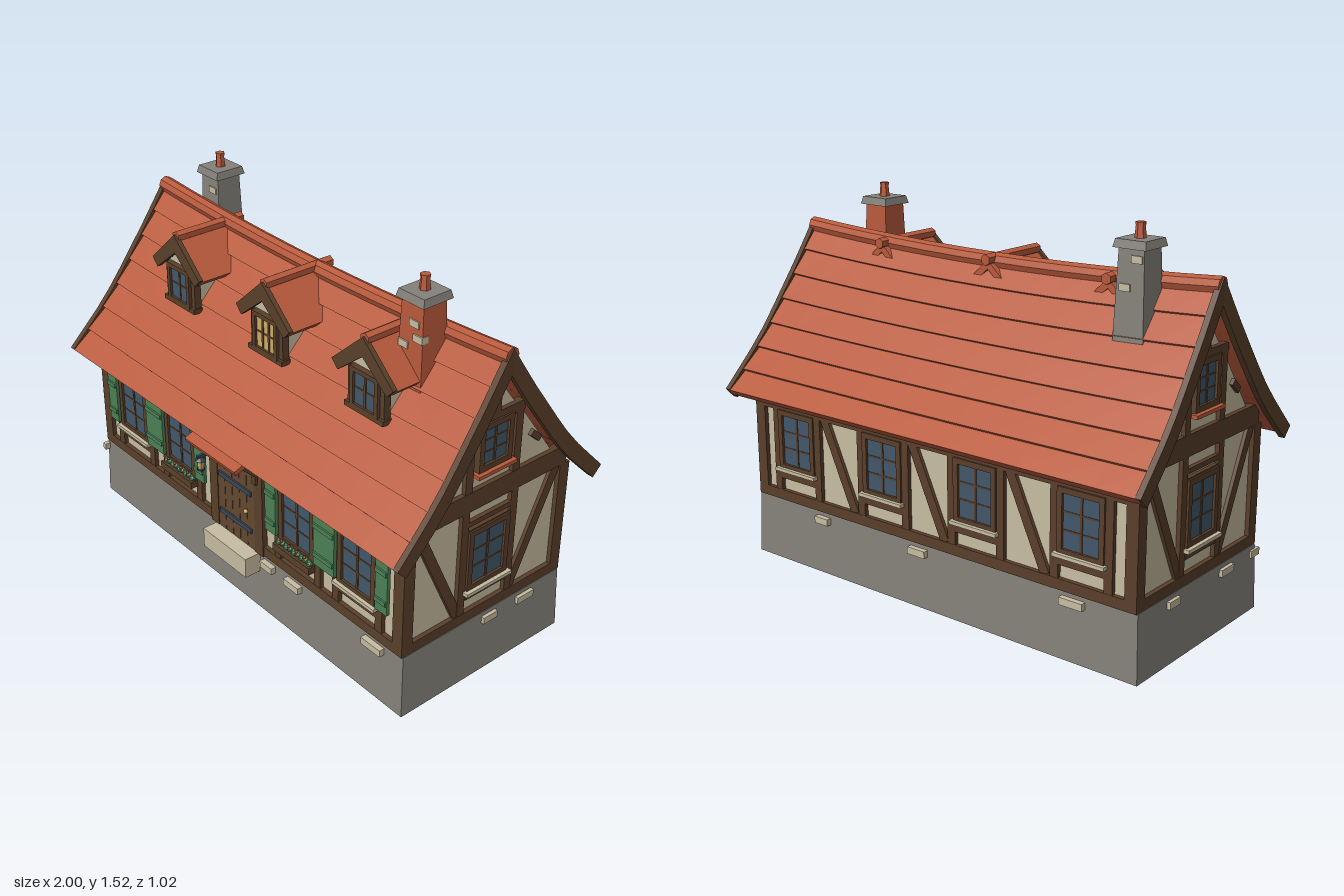
import * as THREE from 'three';

const paint = (name, color, side = THREE.FrontSide) => {
  const m = new THREE.MeshStandardMaterial({ color, side });
  m.name = name;
  return m;
};

export function createModel() {
  const tile = paint('roof tile', 0xb85a3c), timber = paint('timber', 0x5a3f2a);
  const plaster = paint('plaster', 0xc8bda2), stone = paint('stone', 0x85827a, THREE.DoubleSide);
  const glass = paint('glass', 0x42586a), lit = paint('lit glass', 0xcfae68);
  const green = paint('shutter green', 0x4c8054), doorWood = paint('door wood', 0x634830);
  const iron = paint('iron', 0x39485a), flowerRed = paint('flower red', 0xb8433a);

  const house = new THREE.Group();
  house.name = 'house';
  house.position.z = -0.01;

  const add = (parent, name, geo, mat, x = 0, y = 0, z = 0) => {
    const m = new THREE.Mesh(geo, mat);
    m.name = name;
    m.position.set(x, y, z);
    parent.add(m);
    return m;
  };
  const group = (name, x = 0, y = 0, z = 0) => {
    const g = new THREE.Group();
    g.name = name;
    g.position.set(x, y, z);
    house.add(g);
    return g;
  };
  const box = (p, name, mat, x, y, w, h, d = 0.03, z = 0) => add(p, name, new THREE.BoxGeometry(w, h, d), mat, x, y, z);
  const flat = (geo) => {
    const g = geo.index ? geo.toNonIndexed() : geo;
    g.computeVertexNormals();
    return g;
  };
  // Capped solid through matching convex rings of [x, y, z], faces turned outward
  const loft = (rings) => {
    const tris = [], n = rings[0].length, last = rings[rings.length - 1];
    for (let i = 0; i < rings.length - 1; i++) for (let j = 0; j < n; j++) {
      const k = (j + 1) % n, a = rings[i], b = rings[i + 1];
      tris.push([a[j], a[k], b[k]], [a[j], b[k], b[j]]);
    }
    for (let j = 1; j < n - 1; j++) tris.push([rings[0][0], rings[0][j + 1], rings[0][j]], [last[0], last[j], last[j + 1]]);
    const V = (p) => new THREE.Vector3(...p);
    const volume = tris.reduce((s, [a, b, c]) => s + V(a).dot(V(b).cross(V(c))), 0);
    if (volume < 0) tris.forEach((t) => t.reverse());
    const g = new THREE.BufferGeometry();
    g.setAttribute('position', new THREE.Float32BufferAttribute(tris.flat(2), 3));
    g.computeVertexNormals();
    return g;
  };
  // Straight timber between two points on a wall
  const brace = (p, x1, y1, x2, y2, w = 0.04) => {
    const m = box(p, 'brace', timber, (x1 + x2) / 2, (y1 + y2) / 2, w, Math.hypot(x2 - x1, y2 - y1), 0.024);
    m.rotation.z = Math.atan2(x1 - x2, y2 - y1);
  };
  const windowUnit = (p, x, y, w, h, { pane = glass, cols = 2, rows = 3, f = 0.022, z = 0 } = {}) => {
    box(p, 'windowPane', pane, x, y, w, h, 0.008, z + 0.008);
    for (const s of [-1, 1]) {
      box(p, 'windowJamb', timber, x + s * (w + f) / 2, y, f, h + 2 * f, 0.044, z);
      box(p, 'windowRail', timber, x, y + s * (h + f) / 2, w, f, 0.044, z);
    }
    for (let i = 1; i < cols; i++) box(p, 'mullion', timber, x - w / 2 + i * w / cols, y, 0.01, h, 0.03, z);
    for (let i = 1; i < rows; i++) box(p, 'glazingBar', timber, x, y - h / 2 + i * h / rows, w, 0.007, 0.028, z);
  };

  // Foundation: tapered and open below
  const baseGeo = new THREE.BoxGeometry(1.89, 0.26, 0.81);
  const bp = baseGeo.attributes.position;
  for (let i = 0; i < bp.count; i++) if (bp.getY(i) > 0) bp.setXYZ(i, bp.getX(i) * 0.99, 0.13, bp.getZ(i) * 0.98);
  const faces = Array.from(baseGeo.index.array);
  faces.splice(18, 6);
  baseGeo.setIndex(faces);
  baseGeo.clearGroups();
  baseGeo.computeVertexNormals();
  add(house, 'foundation', baseGeo, stone, 0, 0.13, 0);

  // Plaster body with gables
  const half = [[0.385, 0.262], [0.385, 0.74], [0.31, 0.82], [0.155, 1.03], [0.08, 1.12]];
  const outline = [...half, [0, 1.23], ...half.map(([z, y]) => [-z, y]).reverse()];
  const bodyGeo = new THREE.ExtrudeGeometry(new THREE.Shape(outline.map((p) => new THREE.Vector2(...p))), { depth: 1.83, bevelEnabled: false });
  add(house, 'plasterWalls', bodyGeo.translate(0, 0, -0.915).rotateY(Math.PI / 2), plaster);

  // Wall groups: local x along the wall, z outward
  const wall = (name, angle, dist) => {
    const g = group(name, Math.sin(angle) * dist, 0, Math.cos(angle) * dist);
    g.rotation.y = angle;
    return g;
  };
  const front = wall('frontWall', 0, 0.387), back = wall('backWall', Math.PI, 0.387);
  const gables = [wall('leftGable', Math.PI / 2, 0.917), wall('rightGable', -Math.PI / 2, 0.917)];
  for (const x of [-0.908, 0.908]) for (const z of [-0.378, 0.378]) box(house, 'cornerPost', timber, x, 0.5, 0.05, 0.48, 0.05, z);

  const bay = (p, x) => {
    windowUnit(p, x, 0.522, 0.155, 0.205);
    for (const s of [-1, 1]) box(p, 'stud', timber, x + s * 0.115, 0.47, 0.035, 0.4);
    box(p, 'underRail', timber, x, 0.372, 0.2, 0.036);
  };
  for (const p of [front, back]) {
    box(p, 'sillBeam', timber, 0, 0.281, 1.86, 0.042, 0.032);
    box(p, 'headRail', timber, 0, 0.652, 1.86, 0.018);
    box(p, 'topPlate', timber, 0, 0.695, 1.86, 0.04);
  }
  // Back windows and braces
  for (const x of [-0.7, -0.23, 0.23, 0.7]) {
    bay(back, x);
    box(back, 'windowSill', plaster, x, 0.397, 0.22, 0.014, 0.05, 0.012);
  }
  for (const x of [-0.465, 0, 0.465]) brace(back, x - 0.08, 0.65, x + 0.08, 0.3);

  // Front windows, shutters and flower boxes
  for (const s of [-1, 1]) {
    for (const x of [s * 0.695, s * 0.364]) {
      bay(front, x);
      for (const k of [-1, 1]) {
        const sx = x + k * 0.139;
        box(front, 'shutter', green, sx, 0.523, 0.062, 0.226, 0.014, 0.022);
        for (const y of [0.46, 0.585]) box(front, 'shutterBatten', green, sx, y, 0.056, 0.018, 0.008, 0.032);
      }
    }
    box(front, 'windowSill', plaster, s * 0.695, 0.397, 0.22, 0.014, 0.05, 0.012);
    box(front, 'flowerBox', timber, s * 0.364, 0.375, 0.21, 0.03, 0.04, 0.027);
    for (let i = 0; i < 9; i++) {
      const x = s * 0.364 - 0.088 + i * 0.022;
      add(front, 'leaves', new THREE.IcosahedronGeometry(0.015, 0), green, x, 0.396 + (i % 2) * 0.006, 0.027);
      if (i % 2) add(front, 'flower', new THREE.IcosahedronGeometry(0.008, 0), flowerRed, x, 0.414, 0.034);
    }
    box(front, 'doorPost', timber, s * 0.14, 0.46, 0.05, 0.41, 0.04);
    // Porch bracket
    box(front, 'porchBracketPost', timber, s * 0.13, 0.62, 0.022, 0.09, 0.025, 0.018);
    box(front, 'porchBracketArm', timber, s * 0.13, 0.65, 0.02, 0.02, 0.13, 0.055).rotation.x = -0.75;
  }
  // Door
  for (let i = 0; i < 5; i++) box(front, 'doorPlank', doorWood, -0.092 + i * 0.046, 0.442, 0.044, 0.37, 0.02, 0.008);
  box(front, 'doorLintel', timber, 0, 0.645, 0.32, 0.04, 0.045);
  for (const y of [0.34, 0.51]) box(front, 'doorStrap', iron, 0, y, 0.2, 0.02, 0.008, 0.021);
  add(front, 'doorKnob', new THREE.SphereGeometry(0.009, 8, 6), lit, 0.07, 0.42, 0.026);
  box(house, 'doorStep', plaster, 0, 0.213, 0.27, 0.085, 0.1, 0.42);
  box(house, 'porchRoof', tile, 0, 0.698, 0.31, 0.02, 0.125, 0.46).rotation.x = 0.36;
  // Lantern
  box(front, 'lanternBracket', iron, -0.176, 0.56, 0.012, 0.012, 0.07, 0.035);
  add(front, 'lanternCap', flat(new THREE.ConeGeometry(0.024, 0.02, 6)), iron, -0.176, 0.552, 0.053);
  add(front, 'lanternGlass', flat(new THREE.CylinderGeometry(0.017, 0.013, 0.04, 6)), lit, -0.176, 0.524, 0.053);
  add(front, 'lanternBase', flat(new THREE.CylinderGeometry(0.017, 0.017, 0.007, 6)), iron, -0.176, 0.502, 0.053);

  // Gable framing
  for (const p of gables) {
    box(p, 'sillBeam', timber, 0, 0.281, 0.8, 0.042, 0.032);
    box(p, 'tieBeam', timber, 0, 0.78, 0.76, 0.08, 0.032);
    windowUnit(p, 0, 0.527, 0.157, 0.21);
    box(p, 'headRail', timber, 0, 0.685, 0.23, 0.02);
    box(p, 'headRail', timber, 0, 0.65, 0.2, 0.02);
    box(p, 'underRail', timber, 0, 0.372, 0.2, 0.03);
    box(p, 'windowSill', plaster, 0, 0.395, 0.225, 0.014, 0.05, 0.012);
    windowUnit(p, 0, 0.98, 0.115, 0.14);
    box(p, 'upperSill', tile, 0, 0.88, 0.185, 0.014, 0.05, 0.012);
    box(p, 'collarBeam', timber, 0, 1.078, 0.27, 0.04);
    box(p, 'kingPost', timber, 0, 1.17, 0.03, 0.16);
    for (const s of [-1, 1]) {
      box(p, 'stud', timber, s * 0.12, 0.52, 0.034, 0.46);
      box(p, 'upperStud', timber, s * 0.115, 0.94, 0.034, 0.26);
      brace(p, s * 0.335, 0.74, s * 0.13, 0.3);
      brace(p, s * 0.235, 0.9, s * 0.19, 0.94, 0.025);
    }
  }

  // Pale stones in the foundation
  const blocks = [[front, [0.195, 0.345, 0.79, -0.935]], [back, [-0.56, -0.05, 0.67]], [gables[0], [0.025, 0.21]], [gables[1], [-0.18, 0.18]]];
  for (const [p, xs] of blocks) xs.forEach((x, i) => box(p, 'paleStone', plaster, x, 0.228, x < -0.9 ? 0.02 : 0.07 + 0.015 * (i % 3), 0.028, 0.06, 0.003));

  // Main roof: curved pitch with a sagging ridge
  const pitch = new THREE.CatmullRomCurve3([[0, 1.295], [0.075, 1.185], [0.155, 1.078], [0.31, 0.882], [0.49, 0.705]].map(([z, y]) => new THREE.Vector3(0, y, z)));
  const sag = (x, t) => 0.035 * x * x * (1 - t);
  const roofPoint = (side, x, t, lift) => {
    const u = Math.min(t, 1), p = pitch.getPointAt(u), d = pitch.getTangentAt(u);
    return [x * (0.97 + 0.015 * u), p.y + d.z * lift + sag(x, u), side * Math.max(0, p.z - d.y * lift)];
  };
  const rows = 7;
  for (const side of [-1, 1]) {
    for (let r = 0; r < rows; r++) {
      const t0 = r / rows, t1 = Math.min(1, (r + 1.08) / rows), rings = [];
      for (let i = 0; i <= 12; i++) {
        const x = -1 + i / 6;
        rings.push([roofPoint(side, x, t0, 0), roofPoint(side, x, t1, 0.014), roofPoint(side, x, t1, -0.022), roofPoint(side, x, t0, -0.022)]);
      }
      add(house, 'tileRow', loft(rings), tile);
    }
    // Bargeboards
    for (const end of [-1, 1]) {
      const rings = [];
      for (let i = 0; i <= 8; i++) {
        const t = i / 8, [, y, z] = roofPoint(side, end, t, 0.016 * Math.min(1, t * 8));
        const xo = end * (0.98 + 0.02 * t), xi = xo - end * 0.024, yt = y + (i ? 0 : 0.025);
        const yb = yt - 0.1 + 0.06 * t, zb = z - side * 0.04 * t;
        rings.push([[xi, yt, z], [xo, yt, z], [xo, yb, zb], [xi, yb, zb]]);
      }
      add(house, 'bargeboard', loft(rings), timber);
    }
  }
  const capRings = [];
  for (let i = 0; i <= 12; i++) {
    const x = -1 + i / 6;
    capRings.push(Array.from({ length: 8 }, (_, k) => [x * 0.975, 1.29 + sag(x, 0) + 0.032 * Math.sin(k * Math.PI / 4), 0.032 * Math.cos(k * Math.PI / 4)]));
  }
  add(house, 'ridgeCap', loft(capRings), tile);

  // Dormers
  const dormerShape = new THREE.Shape([[-0.085, 0.99], [0.085, 0.99], [0.085, 1.17], [0, 1.26], [-0.085, 1.17]].map((p) => new THREE.Vector2(...p)));
  const prism = (pts, z0, z1) => loft([z0, z1].map((z) => pts.map(([x, y]) => [x, y, z])));
  for (const x of [-0.545, 0, 0.545]) {
    const d = group('dormer', x);
    add(d, 'dormerWalls', new THREE.ExtrudeGeometry(dormerShape, { depth: 0.2, bevelEnabled: false }), plaster, 0, 0, 0.03);
    windowUnit(d, 0, 1.092, 0.108, 0.125, { pane: x ? glass : lit, cols: x ? 2 : 3, rows: 2, f: 0.018, z: 0.232 });
    box(d, 'dormerSill', timber, 0, 1.012, 0.2, 0.02, 0.04, 0.232);
    for (const s of [-1, 1]) {
      box(d, 'dormerPost', timber, s * 0.082, 1.085, 0.022, 0.17, 0.03, 0.226);
      add(d, 'dormerRoof', prism([[0, 1.3], [s * 0.152, 1.16], [s * 0.137, 1.142], [0, 1.265]], -0.05, 0.25), tile);
      add(d, 'dormerBargeboard', prism([[0, 1.31], [s * 0.156, 1.168], [s * 0.125, 1.134], [0, 1.235]], 0.242, 0.262), timber);
    }
    add(d, 'dormerRidge', flat(new THREE.CylinderGeometry(0.022, 0.022, 0.315, 6).rotateX(Math.PI / 2)), tile, 0, 1.3, 0.095);
  }

  // Chimneys
  const chimney = (name, x, z, mat, chips) => {
    const c = group(name, x, 0, z);
    const square = (y, r) => [[-r, y, -r], [r, y, -r], [r, y, r], [-r, y, r]];
    add(c, 'chimneyStack', loft([square(1.0, 0.066), square(1.44, 0.052)]), mat);
    add(c, 'chimneyCap', loft([square(1.435, 0.068), square(1.465, 0.061)]), stone);
    add(c, 'chimneyPot', flat(new THREE.CylinderGeometry(0.016, 0.021, 0.055, 6)), tile, 0, 1.49, 0);
    add(c, 'chimneyPotRim', flat(new THREE.CylinderGeometry(0.019, 0.019, 0.01, 6)), tile, 0, 1.515, 0);
    for (const [cx, cy, cz] of chips) box(c, 'paleBrick', plaster, cx, cy, 0.045, 0.026, 0.03, cz);
  };
  chimney('brickChimney', 0.64, 0.075, tile, [[0.015, 1.36, 0.045], [-0.032, 1.27, 0.048], [0.036, 1.31, 0.047]]);
  chimney('stoneChimney', -0.695, -0.08, stone, [[0.02, 1.38, 0.044], [-0.025, 1.4, -0.044], [0.02, 1.3, -0.047]]);

  const model = new THREE.Group();
  model.name = 'cottage';
  model.add(house);
  return model;
}
